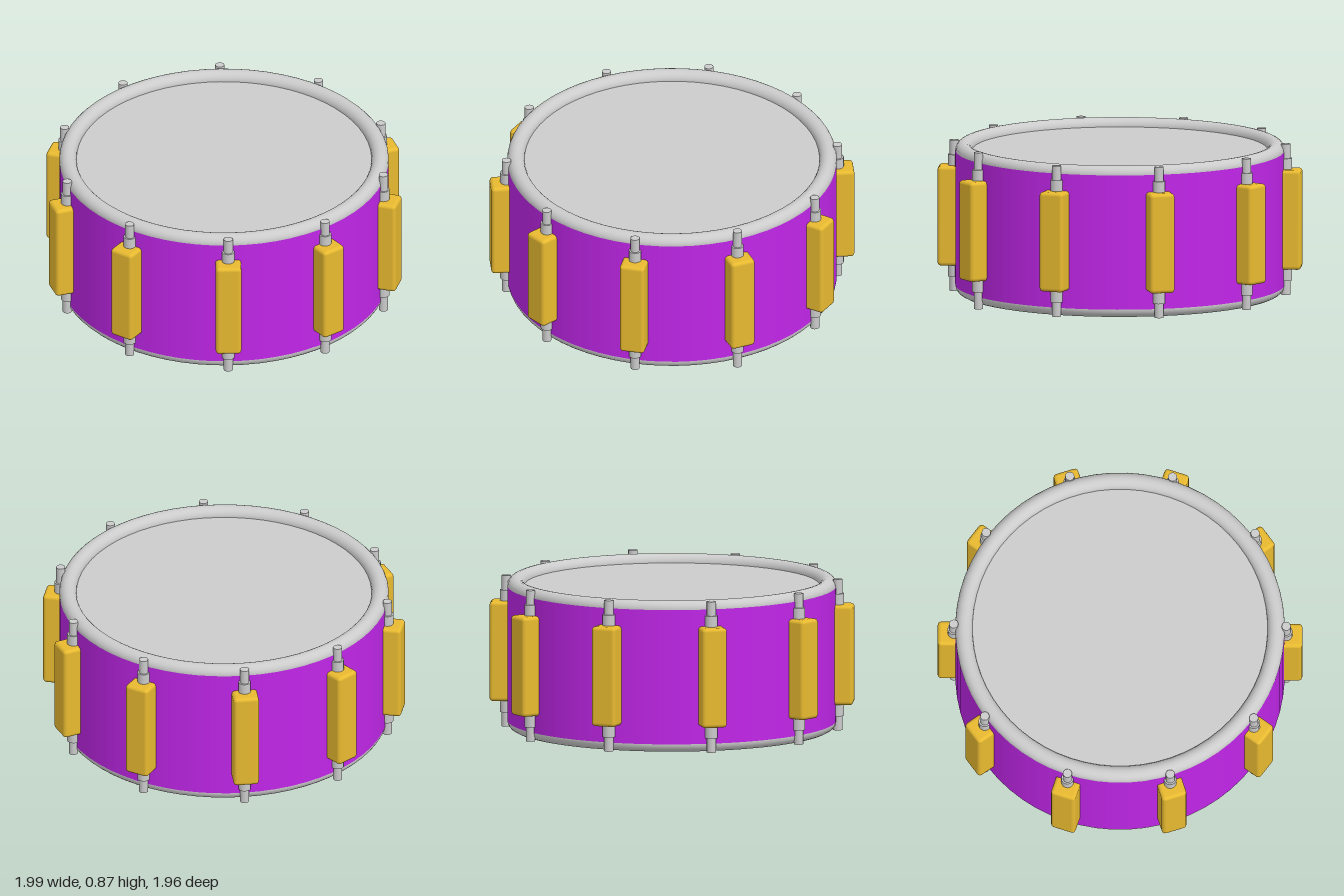
import * as THREE from 'three';
import { RoundedBoxGeometry } from 'three/addons/geometries/RoundedBoxGeometry.js';

const RADIUS = 0.9;      // shell and hoop outer radius
const HALF = 0.371;      // half height of the shell
const MID = 0.435;       // height of the drum's middle
const HOOP = 0.047;      // hoop tube radius
const LUGS = 10;
const FIRST_ANGLE = THREE.MathUtils.degToRad(4.5);

const grey = new THREE.MeshStandardMaterial({ color: 0xcccccc });
const purple = new THREE.MeshStandardMaterial({ color: 0xc026e8, side: THREE.DoubleSide });
const gold = new THREE.MeshStandardMaterial({ color: 0xe8ba30 });

function add(parent, name, geometry, material, x = 0, y = 0, z = 0) {
  const mesh = new THREE.Mesh(geometry, material);
  mesh.name = name;
  mesh.position.set(x, y, z);
  parent.add(mesh);
  return mesh;
}

// Lug: a rounded casing with a collar and a tension rod running through it
function makeLug(rodLength) {
  const lug = new THREE.Group();
  add(lug, 'lugCasing', new RoundedBoxGeometry(0.14, 0.55, 0.14, 2, 0.02), gold, 0, 0.003, 0.926);
  add(lug, 'rodCollar', new THREE.CylinderGeometry(0.034, 0.034, 0.676, 16), grey, 0, 0, 0.908);
  add(lug, 'tensionRod', new THREE.CylinderGeometry(0.025, 0.025, rodLength, 16), grey, 0, 0, 0.908);
  return lug;
}

export function createModel() {
  const model = new THREE.Group();
  const drum = new THREE.Group();
  drum.name = 'drum';
  drum.position.set(-0.01, MID, -0.02);
  model.add(drum);

  // Shell
  add(drum, 'shell', new THREE.CylinderGeometry(RADIUS, RADIUS, HALF * 2, 64, 1, true), purple);

  // Hoop and drumhead at each end
  for (const [side, label] of [[1, 'top'], [-1, 'bottom']]) {
    const hoop = new THREE.TorusGeometry(RADIUS - HOOP, HOOP, 20, 64);
    hoop.rotateX(Math.PI / 2);
    add(drum, label + 'Hoop', hoop, grey, 0, side * HALF, 0);
    const head = new THREE.CircleGeometry(RADIUS - HOOP, 64);
    head.rotateX(-side * Math.PI / 2);
    add(drum, label + 'Head', head, grey, 0, side * HALF, 0);
  }

  // Ring of lugs; one has a slightly longer rod
  for (let i = 0; i < LUGS; i++) {
    const angle = FIRST_ANGLE + (i / LUGS) * Math.PI * 2;
    const lug = makeLug(i === 1 ? 0.865 : 0.834);
    lug.name = 'lug' + (i + 1);
    lug.rotation.y = Math.PI / 2 - angle;
    drum.add(lug);
  }
  return model;
}
